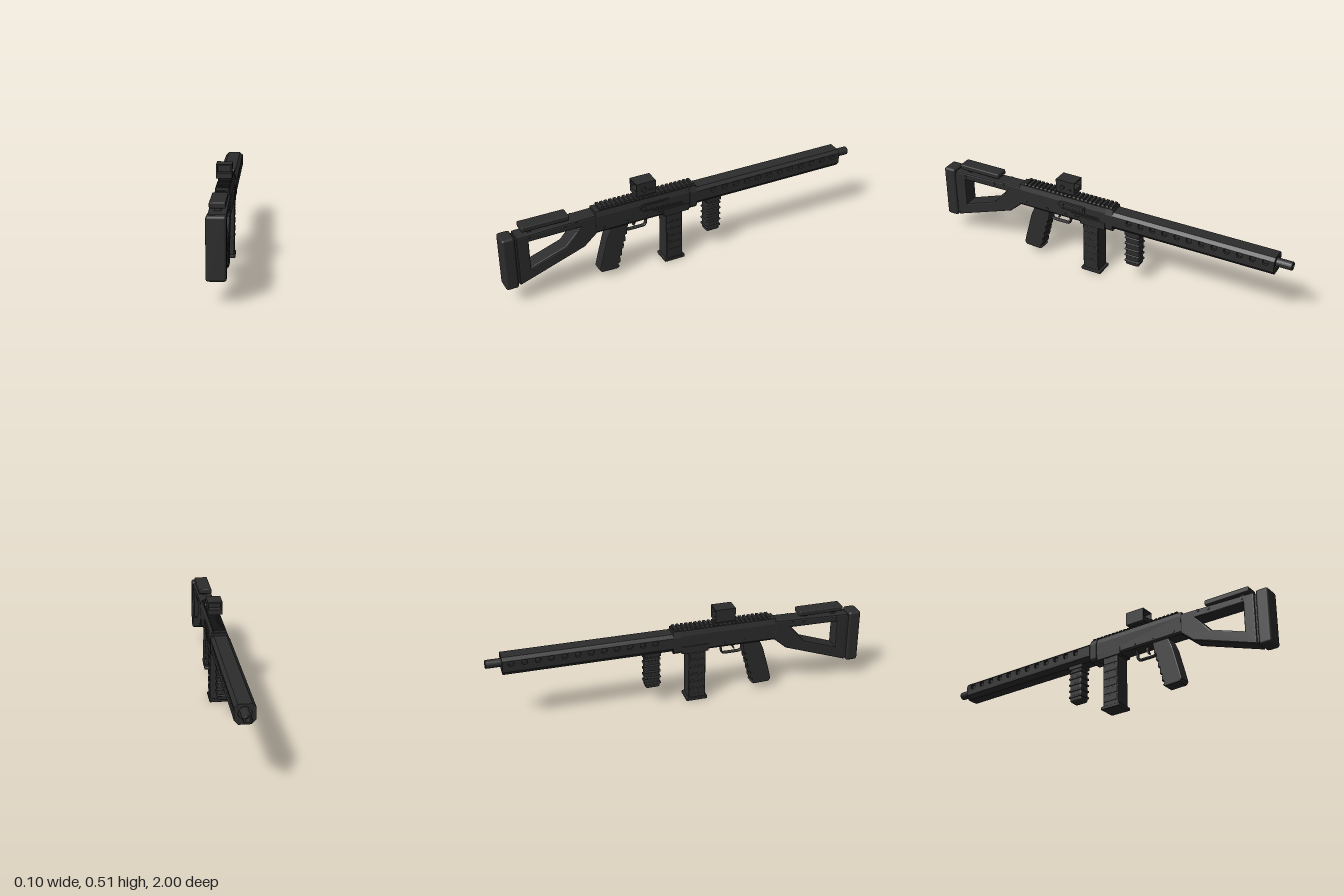
import * as THREE from 'three';
import { RoundedBoxGeometry } from 'three/addons/geometries/RoundedBoxGeometry.js';

const body = new THREE.MeshStandardMaterial({ color: 0x2c2c2c });
body.name = 'charcoal';

export function createModel() {
  const root = new THREE.Group();
  root.name = 'model';
  const add = (name, geometry) => {
    const mesh = new THREE.Mesh(geometry, body);
    mesh.name = name;
    root.add(mesh);
    return mesh;
  };
  // Boxes given by their limits on each axis
  const box = (name, [x0, x1], [y0, y1], [z0, z1], r = 0) => {
    const size = [x1 - x0, y1 - y0, z1 - z0];
    const g = r ? new RoundedBoxGeometry(...size, 2, r) : new THREE.BoxGeometry(...size);
    g.translate((x0 + x1) / 2, (y0 + y1) / 2, (z0 + z1) / 2);
    return add(name, g);
  };
  // Side profiles as [z, y] points, extruded across x
  const toPoints = (pts) => pts.map(([z, y]) => new THREE.Vector2(-z, y));
  const side = (name, pts, x0, x1, bevel = 0, holes = []) => {
    const shape = new THREE.Shape(toPoints(pts));
    holes.forEach((h) => shape.holes.push(new THREE.Path(toPoints(h))));
    const g = new THREE.ExtrudeGeometry(shape, {
      depth: x1 - x0 - 2 * bevel, bevelEnabled: bevel > 0, bevelSize: bevel,
      bevelThickness: bevel, bevelOffset: -bevel, bevelSegments: 2,
    });
    g.rotateY(Math.PI / 2).translate(x0 + bevel, 0, 0);
    return add(name, g);
  };
  // Cross-sections in x and y, extruded along z
  const section = (name, pts, z0, z1, hole) => {
    const shape = new THREE.Shape(pts.map((p) => new THREE.Vector2(...p)));
    if (hole) shape.holes.push(hole);
    const g = new THREE.ExtrudeGeometry(shape, { depth: z1 - z0, bevelEnabled: false, curveSegments: 16 });
    return add(name, g.translate(0, 0, z0));
  };
  const mirrored = (half) => [...half, ...half.map(([x, y]) => [-x, y]).reverse()];
  const pin = (name, r, x0, x1, y, z) => {
    const g = new THREE.CylinderGeometry(r, r, x1 - x0, 12).rotateZ(Math.PI / 2);
    return add(name, g.translate((x0 + x1) / 2, y, z));
  };

  // Shoulder stock with triangular opening
  box('buttPad', [-0.046, 0.046], [0.102, 0.392], [0.934, 1], 0.013);
  side('stock',
    [[0.925, 0.112], [0.58, 0.232], [0.51, 0.293], [0.51, 0.398], [0.6, 0.396], [0.925, 0.385]],
    -0.043, 0.043, 0.008,
    [[[0.865, 0.197], [0.68, 0.262], [0.6, 0.352], [0.865, 0.348]]]);
  box('padMount', [-0.035, 0.035], [0.12, 0.375], [0.915, 0.94]);
  box('cheekRest', [-0.037, 0.037], [0.405, 0.433], [0.65, 0.895], 0.006);
  for (const z of [0.69, 0.85]) box('cheekRestPost', [-0.015, 0.015], [0.38, 0.41], [z - 0.012, z + 0.012]);
  for (const [z, y] of [[0.615, 0.385], [0.675, 0.376], [0.86, 0.37]]) pin('stockScrew', 0.007, -0.047, 0.047, y, z);

  // Receiver
  section('receiver', mirrored([[0.036, 0.292], [0.043, 0.302], [0.043, 0.385], [0.034, 0.412]]), -0.045, 0.515);
  section('receiverCollar', mirrored([[0.038, 0.29], [0.048, 0.305], [0.048, 0.382], [0.036, 0.414]]), -0.045, -0.005);
  side('magazineWell', [[0.145, 0.285], [0.145, 0.325], [0.0, 0.325], [0.0, 0.285]], -0.047, 0.047, 0.003);

  // Ejection port, grooves and pins
  box('portFrame', [0.04, 0.048], [0.355, 0.388], [0.115, 0.265], 0.003);
  box('portCover', [0.045, 0.051], [0.361, 0.382], [0.125, 0.24], 0.002);
  box('chargingTab', [0.04, 0.051], [0.362, 0.378], [0.242, 0.275], 0.003);
  [[0.343, 0.04, 0.26], [0.333, 0.03, 0.2], [0.318, 0.02, 0.18]].forEach(([y, z0, z1]) => {
    box('sideRib', [0.04, 0.0465], [y - 0.003, y + 0.003], [z0, z1]);
  });
  for (const [z, y] of [[0.47, 0.315], [0.345, 0.315], [0.235, 0.312]]) pin('receiverPin', 0.007, -0.045, 0.045, y, z);

  // Toothed top rail
  box('railBase', [-0.03, 0.03], [0.405, 0.417], [-0.038, 0.488]);
  for (let i = 0; i < 22; i++) {
    const z = -0.03 + i * 0.0243;
    section('railTooth', mirrored([[0.03, 0.414], [0.035, 0.418], [0.03, 0.426]]), z - 0.007, z + 0.007);
  }

  // Box-shaped sight with a recessed window
  const windowHole = new THREE.Path([[-0.034, 0.464], [-0.034, 0.5], [0.031, 0.5], [0.031, 0.464]].map((p) => new THREE.Vector2(...p)));
  section('sightHousing', [[-0.041, 0.437], [0.038, 0.437], [0.038, 0.507], [-0.041, 0.507]], 0.182, 0.29, windowHole);
  box('sightWindow', [-0.036, 0.033], [0.462, 0.502], [0.225, 0.233]);
  pin('sightKnob', 0.012, 0.036, 0.049, 0.471, 0.25);
  box('sightButton', [0.036, 0.041], [0.455, 0.465], [0.2, 0.22]);

  // Handguard with vent slots along both sides
  const bore = new THREE.Path();
  bore.absarc(0, 0.356, 0.031, 0, Math.PI * 2, true);
  section('handguard',
    mirrored([[0.03, 0.302], [0.05, 0.325], [0.036, 0.325], [0.036, 0.384], [0.05, 0.384], [0.033, 0.4]]),
    -0.92, -0.045, bore);
  const vents = [];
  for (let i = 0; i < 12; i++) {
    const z = -0.14 - i * 0.0668, a = 0.014, c = 0.008;
    vents.push([[z + a, 0.369 - c], [z + c, 0.369 - a], [z - c, 0.369 - a], [z - a, 0.369 - c],
      [z - a, 0.369 + c], [z - c, 0.369 + a], [z + c, 0.369 + a], [z + a, 0.369 + c]]);
  }
  for (const x of [-0.05, 0.036]) {
    side('ventPanel', [[-0.045, 0.325], [-0.92, 0.325], [-0.92, 0.384], [-0.045, 0.384]], x, x + 0.014, 0, vents);
  }

  // Barrel with open muzzle
  const barrelProfile = [[0, 0.96], [0.011, 0.96], [0.011, 1], [0.019, 1], [0.022, 0.996], [0.022, 0.06], [0, 0.06]];
  const barrel = new THREE.LatheGeometry(barrelProfile.reverse().map((p) => new THREE.Vector2(...p)), 20);
  add('barrel', barrel.toNonIndexed().rotateX(-Math.PI / 2).translate(0, 0.358, 0)).geometry.computeVertexNormals();

  // Magazine with ribbed sides
  box('magazine', [-0.042, 0.042], [0.01, 0.3], [0.038, 0.13], 0.004);
  box('magazineBase', [-0.048, 0.048], [0, 0.018], [0.026, 0.14], 0.004);
  for (let i = 0; i < 6; i++) {
    const y = 0.055 + i * 0.042;
    box('magazineRib', [-0.044, 0.044], [y - 0.016, y + 0.016], [0.042, 0.126], 0.002);
  }

  // Pistol grip with finger grooves on its front edge
  const gripFront = [];
  for (let i = 0; i < 5; i++) {
    const y = 0.255 - i * 0.04, z = 0.343 + i * 0.0105;
    gripFront.push([z, y], [z + 0.002, y - 0.024], [z + 0.012, y - 0.027], [z + 0.014, y - 0.037]);
  }
  side('pistolGrip',
    [[0.43, 0.298], [0.335, 0.298], ...gripFront, [0.392, 0.048], [0.405, 0.037], [0.49, 0.04], [0.503, 0.055], [0.49, 0.11], [0.455, 0.24]],
    -0.033, 0.033, 0.006);

  // Trigger and its guard
  const guardPath = new THREE.CatmullRomCurve3(
    [[0.295, 0.222], [0.25, 0.228], [0.237, 0.24], [0.237, 0.325], [0.243, 0.338]].map(([y, z]) => new THREE.Vector3(0, y, z)),
    false, 'catmullrom', 0.2);
  add('triggerGuard', new THREE.TubeGeometry(guardPath, 28, 0.006, 8).scale(2, 1, 1));
  side('trigger', [[0.3, 0.295], [0.28, 0.295], [0.284, 0.27], [0.295, 0.253], [0.301, 0.257], [0.294, 0.272]], -0.008, 0.008);

  // Ribbed foregrip
  box('foregrip', [-0.031, 0.031], [0.102, 0.31], [-0.191, -0.114], 0.012);
  box('foregripMount', [-0.034, 0.034], [0.285, 0.31], [-0.197, -0.108], 0.004);
  for (let i = 0; i < 5; i++) {
    const y = 0.13 + i * 0.035;
    box('foregripRib', [-0.035, 0.035], [y - 0.006, y + 0.006], [-0.195, -0.11], 0.005);
  }

  root.position.x = -0.001;
  return root;
}
